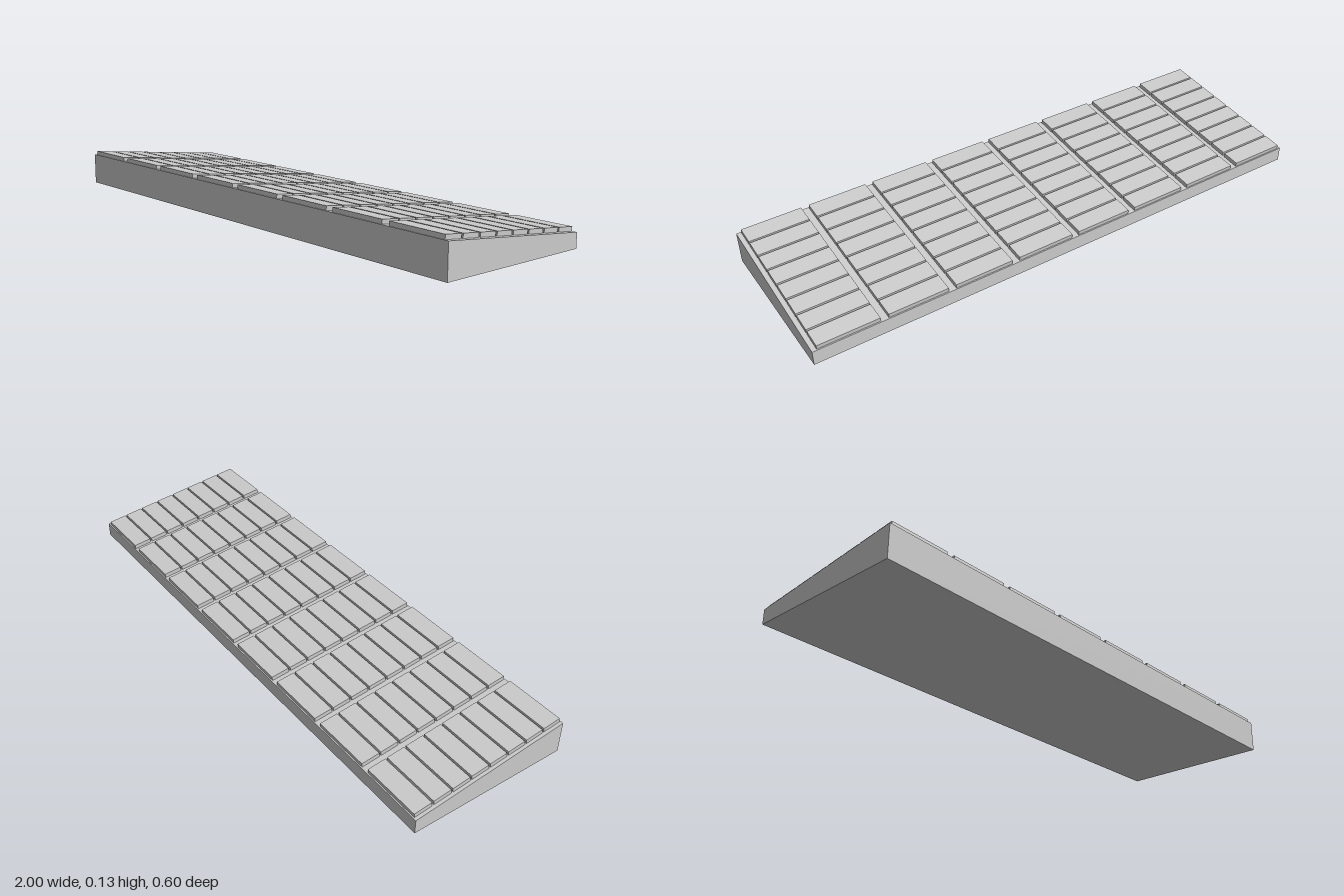
import * as THREE from 'three';

export function createModel() {
  const model = new THREE.Group();
  model.name = 'tiledRamp';
  const material = new THREE.MeshStandardMaterial({ color: 0xcccccc, flatShading: true });

  const frontHeight = 0.12, backHeight = 0.054, halfDepth = 0.3, width = 2;

  // Wedge base: side profile (shape x = depth) extruded along the width
  const profile = new THREE.Shape([
    new THREE.Vector2(-halfDepth, 0),
    new THREE.Vector2(halfDepth, 0),
    new THREE.Vector2(halfDepth, backHeight),
    new THREE.Vector2(-halfDepth, frontHeight),
  ]);
  const baseGeometry = new THREE.ExtrudeGeometry(profile, { depth: width, bevelEnabled: false });
  baseGeometry.translate(0, 0, -width / 2).rotateY(Math.PI / 2);
  const base = new THREE.Mesh(baseGeometry, material);
  base.name = 'wedgeBase';
  model.add(base);

  // Tile grid lying on the sloping top
  const tiles = new THREE.Group();
  tiles.name = 'tiles';
  tiles.position.y = (frontHeight + backHeight) / 2;
  tiles.rotation.x = -Math.atan2(frontHeight - backHeight, 2 * halfDepth);
  model.add(tiles);

  const columns = 8, rows = 8, pitchX = 0.25, pitchZ = 0.0752, thickness = 0.0155;
  const tileGeometry = new THREE.BoxGeometry(0.221, thickness, 0.0683);
  for (let c = 0; c < columns; c++) {
    for (let r = 0; r < rows; r++) {
      const tile = new THREE.Mesh(tileGeometry, material);
      tile.name = 'tile';
      tile.position.set(
        (c - (columns - 1) / 2) * pitchX - 0.0025,
        thickness / 2,
        (r - (rows - 1) / 2) * pitchZ
      );
      tiles.add(tile);
    }
  }
  return model;
}
